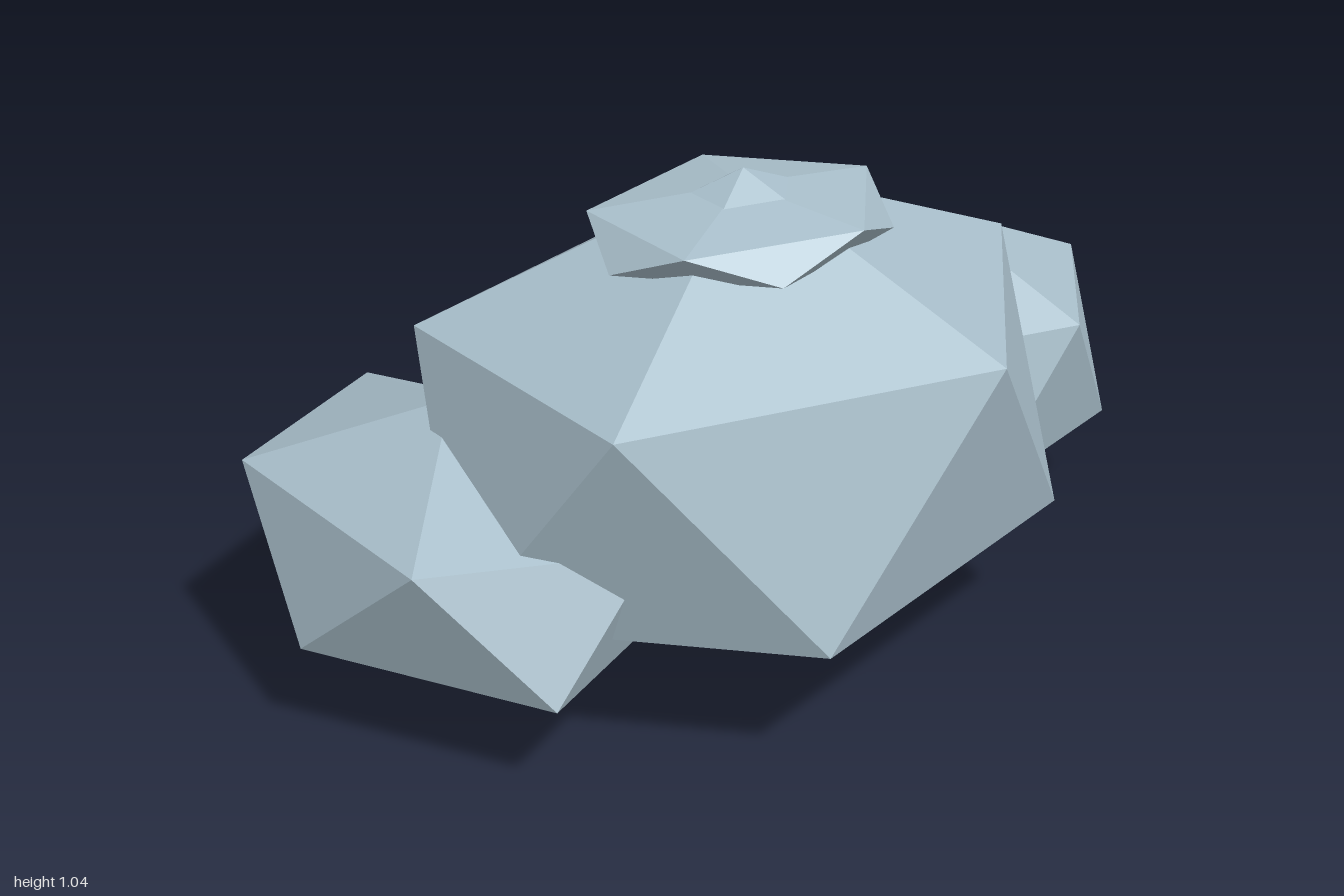
import * as THREE from 'three';

const material = new THREE.MeshStandardMaterial({ color: 0xa9bfcb, flatShading: true });

// Icosahedron stood on one corner, with an upper-ring corner pointing to +x
function uprightIcosahedron() {
  const phi = (1 + Math.sqrt(5)) / 2;
  return new THREE.IcosahedronGeometry(1, 0).rotateX(-Math.atan(phi)).rotateY(Math.PI / 2);
}

export function createModel() {
  const group = new THREE.Group();
  group.name = 'rockCluster';

  // Each stone: name, centre, radii
  const stones = [
    ['mainRock', [-0.114, 0.525, 0.102], [0.754, 0.5225, 0.614]],
    ['leftRock', [0.583, 0.3635, -0.135], [0.466, 0.3465, 0.384]],
    ['rightRock', [-0.64, 0.34, -0.135], [0.4025, 0.29, 0.58]],
    ['topCap', [-0.117, 0.942, 0.1], [0.349, 0.073, 0.291]],
  ];

  for (const [name, centre, radii] of stones) {
    const mesh = new THREE.Mesh(uprightIcosahedron().scale(...radii), material);
    mesh.name = name;
    mesh.position.set(...centre);
    group.add(mesh);
  }
  return group;
}
